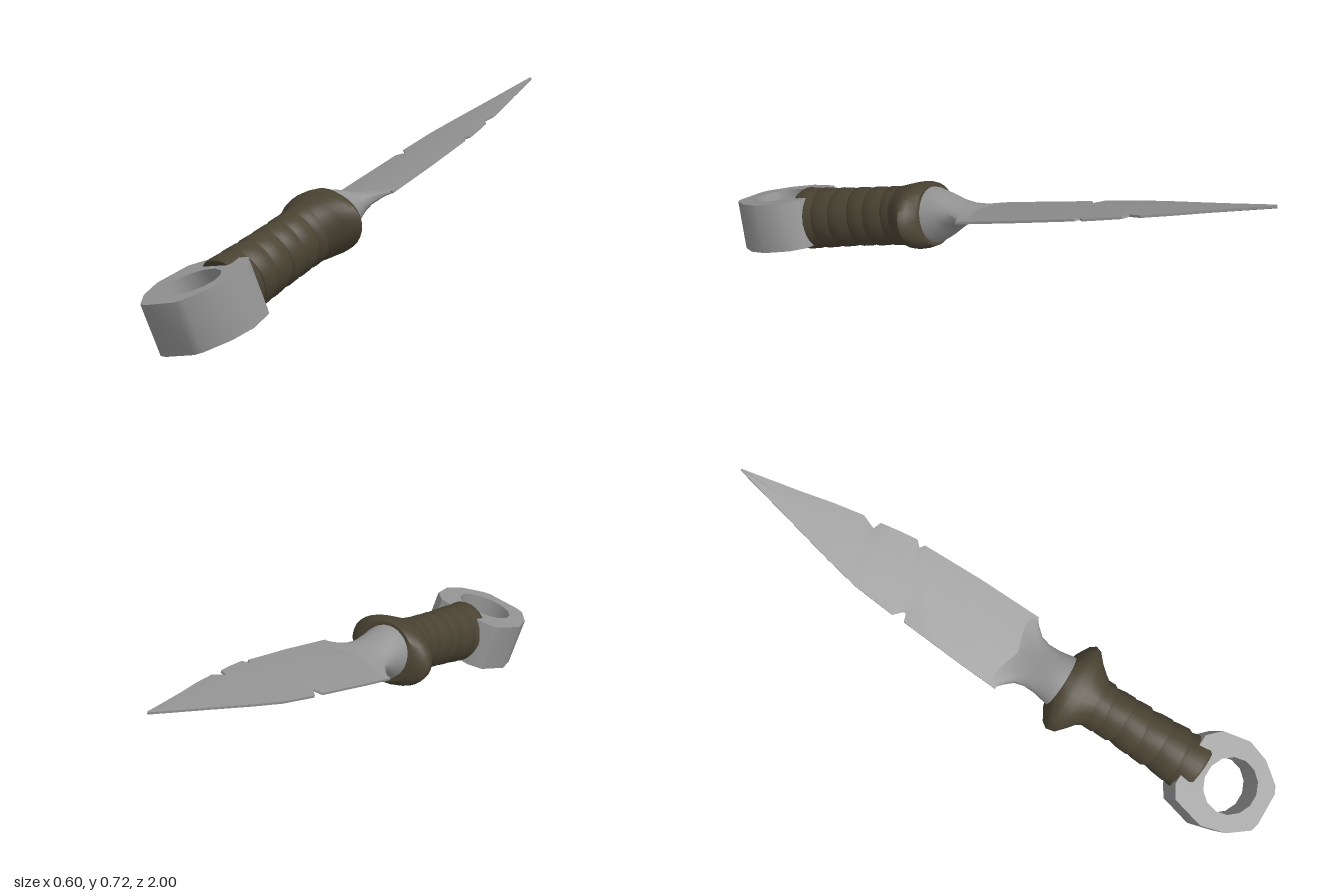
import * as THREE from 'three';
import { toCreasedNormals } from 'three/addons/utils/BufferGeometryUtils.js';

const steel = new THREE.MeshStandardMaterial({ color: 0x949494 });
steel.name = 'grey steel';
const wrap = new THREE.MeshStandardMaterial({ color: 0x4a4333 });
wrap.name = 'dark leather';

// Joins cross-sections (arrays of [x, y, z], counter-clockwise seen from +z, running to -z)
function loft(sections, crease) {
  const n = sections[0].length;
  const pos = sections.flat(2);
  const index = [];
  for (let i = 0; i < sections.length - 1; i++) {
    for (let j = 0; j < n; j++) {
      const a = i * n + j, b = i * n + (j + 1) % n;
      index.push(a, a + n, b, b, a + n, b + n);
    }
  }
  const last = (sections.length - 1) * n;
  for (let j = 1; j < n - 1; j++) {
    index.push(0, j, j + 1, last, last + j + 1, last + j);
  }
  const geo = new THREE.BufferGeometry();
  geo.setAttribute('position', new THREE.Float32BufferAttribute(pos, 3));
  geo.setIndex(index);
  return toCreasedNormals(geo, crease);
}

// Ellipse at distance v along the knife; tilt slants it across the width
function ellipse(v, halfWidth, halfThick, tilt = 0, n = 32) {
  return Array.from({ length: n }, (_, j) => {
    const a = (j / n) * Math.PI * 2;
    const x = Math.cos(a) * halfWidth;
    return [x, Math.sin(a) * halfThick, -(v + tilt * x)];
  });
}

// Piecewise linear lookup in [[v, value], ...]
function lerpTable(table, v) {
  for (let i = 1; i < table.length; i++) {
    const [v0, a] = table[i - 1], [v1, b] = table[i];
    if (v <= v1) return a + (b - a) * (v - v0) / (v1 - v0);
  }
  return table[table.length - 1][1];
}

export function createModel() {
  const model = new THREE.Group();
  model.name = 'knife';
  const add = (name, geo, mat) => {
    const mesh = new THREE.Mesh(geo, mat);
    mesh.name = name;
    model.add(mesh);
  };

  // Pommel ring: faceted outline with a rounded hole
  const outline = [[-0.095, 0.178], [-0.141, 0.148], [-0.17, 0.03], [-0.145, -0.06], [-0.09, -0.132],
    [-0.06, -0.14], [0.06, -0.137], [0.085, -0.122], [0.14, -0.05], [0.165, 0.03], [0.145, 0.13], [0.1, 0.175]];
  const ringShape = new THREE.Shape(outline.map(p => new THREE.Vector2(...p)));
  const hole = new THREE.Path();
  hole.absellipse(0, 0.01, 0.1, 0.095, 0, Math.PI * 2, true);
  ringShape.holes.push(hole);
  const ringGeo = new THREE.ExtrudeGeometry(ringShape, { depth: 0.174, bevelEnabled: false, curveSegments: 7 });
  ringGeo.rotateX(-Math.PI / 2).translate(0, -0.087, 0);
  add('pommelRing', toCreasedNormals(ringGeo, 0.6), steel);

  // Grip: overlapping wrapped bands
  const bands = [0.125, 0.2, 0.28, 0.355, 0.43, 0.5, 0.575];
  const gripWidth = [[0.12, 0.106], [0.25, 0.094], [0.45, 0.086], [0.6, 0.09]];
  const gripThick = [[0.12, 0.109], [0.35, 0.102], [0.6, 0.102]];
  for (let i = 0; i < bands.length - 1; i++) {
    const v0 = bands[i], v1 = bands[i + 1] + 0.012;
    const tilt = i % 2 ? 0.08 : -0.06;
    const steps = [[0, -0.004], [0.12, 0.002], [0.6, 0.001], [1, -0.005]];
    const sections = steps.map(([f, extra]) => {
      const v = v0 + (v1 - v0) * f;
      return ellipse(v, lerpTable(gripWidth, v) + extra, lerpTable(gripThick, v) + extra, tilt);
    });
    add('gripBand', loft(sections, 0.7), wrap);
  }

  // Guard: wide wrapped collar at the front of the grip
  add('guard', loft([
    ellipse(0.535, 0.084, 0.098), ellipse(0.56, 0.1, 0.104), ellipse(0.585, 0.125, 0.108, 0.04),
    ellipse(0.615, 0.158, 0.112, 0.03), ellipse(0.64, 0.165, 0.114), ellipse(0.66, 0.15, 0.112),
    ellipse(0.682, 0.112, 0.106),
  ], 0.8), wrap);

  // Neck: round at the guard, flattening into the blade
  add('neck', loft([
    ellipse(0.66, 0.098, 0.1), ellipse(0.7, 0.091, 0.094), ellipse(0.74, 0.084, 0.076),
    ellipse(0.78, 0.083, 0.052), ellipse(0.815, 0.092, 0.033), ellipse(0.845, 0.118, 0.021),
    ellipse(0.864, 0.14, 0.014), ellipse(0.9, 0.14, 0.008),
  ], 1.2), steel);

  // Blade: chipped edges on both sides, thin hexagonal section
  const leftEdge = [[0.86, -0.144], [1.0, -0.137], [1.24, -0.12], [1.25, -0.091], [1.258, -0.09], [1.287, -0.12],
    [1.441, -0.106], [1.566, -0.08], [1.75, -0.036], [1.968, 0.015]];
  const rightEdge = [[0.86, 0.142], [1.095, 0.144], [1.318, 0.138], [1.33, 0.121], [1.35, 0.141], [1.412, 0.133],
    [1.484, 0.121], [1.495, 0.092], [1.545, 0.112], [1.65, 0.092], [1.767, 0.064], [1.968, 0.021]];
  const stations = [...new Set([...leftEdge, ...rightEdge].map(p => p[0]))].sort((a, b) => a - b);
  const bladeSections = stations.map(v => {
    const l = lerpTable(leftEdge, v), r = lerpTable(rightEdge, v);
    const mid = 0.018 * (v - 0.86) / 1.108;
    const h = 0.015 - 0.009 * (v - 0.86) / 1.108, e = 0.004;
    return [[r, -e], [r, e], [mid, h], [l, e], [l, -e], [mid, -h]].map(([x, y]) => [x, y, -v]);
  });
  add('blade', loft(bladeSections, 0.35), steel);

  // Lay the knife at its raised, rolled angle
  const back = new THREE.Vector3(-0.205, -0.29, 0.935).normalize();
  const side = new THREE.Vector3(-0.252, 0.938, 0.237).cross(back).normalize();
  const up = back.clone().cross(side);
  model.quaternion.setFromRotationMatrix(new THREE.Matrix4().makeBasis(side, up, back));
  model.position.set(-0.125, 0.135, 0.835);
  const root = new THREE.Group();
  root.name = 'throwingKnife';
  root.add(model);
  return root;
}
